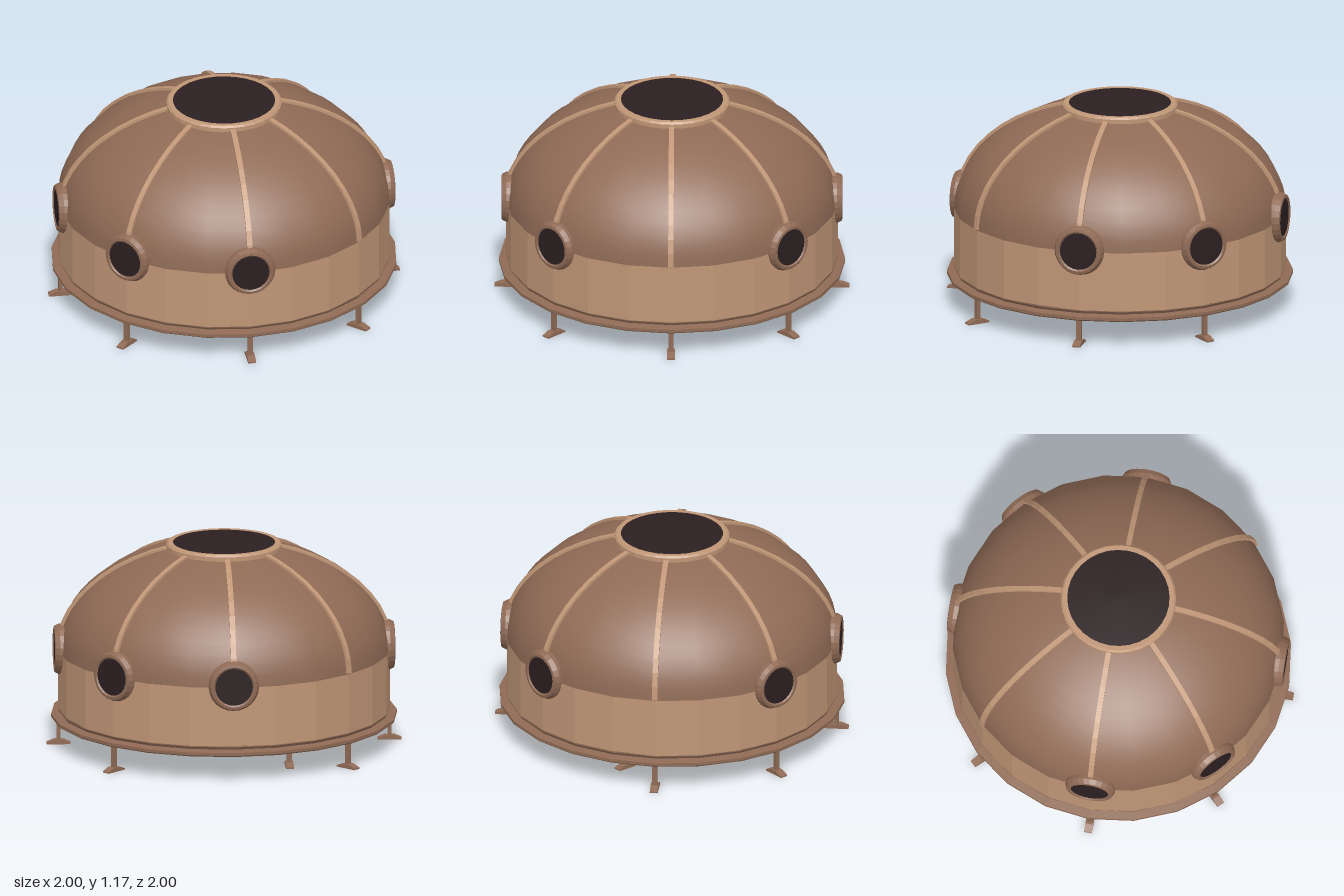
import * as THREE from 'three';

const SIDES = 24;
const R = 0.935, BASE_Y = 0.54, H = 0.62; // dome ellipse

const mat = (name, color) => {
  const m = new THREE.MeshStandardMaterial({ color });
  m.name = name;
  return m;
};

const add = (parent, name, geometry, material) => {
  const mesh = new THREE.Mesh(geometry, material);
  mesh.name = name;
  parent.add(mesh);
  return mesh;
};

const flat = (geometry) => {
  const g = geometry.toNonIndexed();
  g.computeVertexNormals();
  return g;
};

const lathe = (points, sides = SIDES) =>
  new THREE.LatheGeometry(points.map(([x, y]) => new THREE.Vector2(x, y)), sides);

// Points on the dome ellipse, pushed outward by an offset
const arc = (from, to, steps, offset = 0) =>
  Array.from({ length: steps + 1 }, (_, i) => {
    const t = from + ((to - from) * i) / steps;
    return [(R + offset) * Math.cos(t), BASE_Y + (H + offset) * Math.sin(t)];
  });

// Side profile extruded to a width, centred on z = 0
const slab = (points, width) => {
  const shape = new THREE.Shape(points.map(([x, y]) => new THREE.Vector2(x, y)));
  return new THREE.ExtrudeGeometry(shape, { depth: width, bevelEnabled: false })
    .translate(0, 0, -width / 2);
};

export function createModel() {
  const model = new THREE.Group();
  model.name = 'domeHabitat';
  const tan = mat('tan', 0xc09676);
  const brown = mat('brown', 0x8f6a55);
  const glass = mat('darkGlass', 0x2b1f21);

  // Hull
  add(model, 'wall', flat(lathe([[R, 0.2], [R, BASE_Y]])), tan);
  add(model, 'dome', lathe(arc(0, Math.PI / 2 - 0.001, 16)), brown);
  add(model, 'baseFlange', flat(lathe([
    [0.89, 0.17], [0.89, 0.147], [0.965, 0.147], [0.975, 0.155], [0.975, 0.172],
    [0.925, 0.18], [0.935, 0.195], [0.935, 0.204],
  ])), brown);
  add(model, 'floor', new THREE.CircleGeometry(0.9, SIDES).rotateX(Math.PI / 2), tan)
    .position.y = 0.16;

  // Skylight on the crown
  add(model, 'skylightRing', flat(lathe([
    [0.325, 1.1], [0.325, 1.145], [0.315, 1.156], [0.288, 1.156], [0.288, 1.12],
  ], 32)), tan);
  add(model, 'skylightGlass', lathe([[0.29, 1.154], [0.15, 1.162], [0, 1.166]], 32), glass);

  const ribGeometry = slab(
    [...arc(0.015, 1.25, 10, 0.014), ...arc(0.015, 1.25, 10, -0.03).reverse()], 0.03);

  // Portholes face along +x before they are turned into place
  const sideways = (g) => g.rotateZ(-Math.PI / 2);
  const frameGeometry = sideways(flat(lathe([
    [0.14, 0.86], [0.143, 0.93], [0.13, 0.957], [0.115, 0.96], [0.104, 0.95], [0.104, 0.92],
  ], 24)));
  const paneGeometry = new THREE.CircleGeometry(0.106, 24).rotateY(Math.PI / 2);

  const postGeometry = new THREE.BoxGeometry(0.022, 0.14, 0.028).translate(0, 0.085, 0);
  const footGeometry = slab([
    [-0.067, 0], [0.067, 0], [0.067, 0.008], [0.024, 0.025], [-0.024, 0.025], [-0.067, 0.008],
  ], 0.045);

  for (let i = 0; i < 8; i++) {
    const a = (i * Math.PI) / 4;

    // Rib
    add(model, 'rib', ribGeometry, tan).rotation.y = a;

    // Porthole, left out at the very front and back
    if (i % 4 !== 2) {
      const porthole = new THREE.Group();
      porthole.name = 'porthole';
      add(porthole, 'portholeFrame', frameGeometry, brown);
      add(porthole, 'portholeGlass', paneGeometry, glass).position.x = 0.953;
      porthole.position.y = 0.548;
      porthole.rotation.y = a;
      model.add(porthole);
    }

    // Leg; one stands further in under the floor
    const leg = new THREE.Group();
    leg.name = 'leg';
    add(leg, 'legPost', postGeometry, brown);
    add(leg, 'legFoot', footGeometry, brown);
    leg.position.set(i === 1 ? 0.19 : 0.933 * Math.cos(a), 0, -0.933 * Math.sin(a));
    leg.rotation.y = a;
    model.add(leg);
  }
  return model;
}
